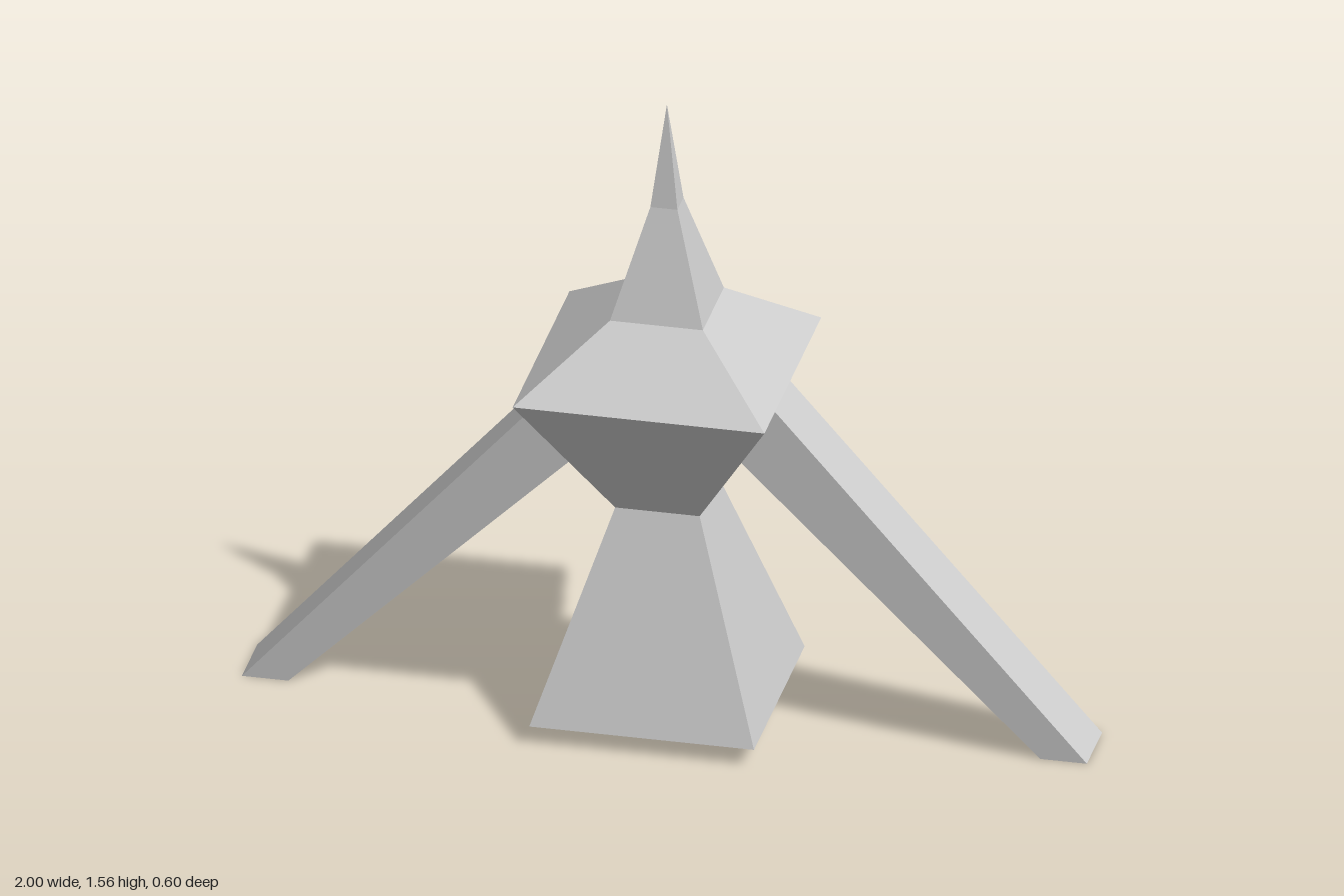
import * as THREE from 'three';

const material = new THREE.MeshStandardMaterial({ color: 0xcccccc, flatShading: true });

// Square-section solid from [half width, height] pairs, bottom to top
function squareTower(name, profile) {
  const points = profile.map(([half, y]) => new THREE.Vector2(half * Math.SQRT2, y));
  const geometry = new THREE.LatheGeometry(points, 4).rotateY(Math.PI / 4);
  const mesh = new THREE.Mesh(geometry, material);
  mesh.name = name;
  mesh.position.x = -0.012;
  return mesh;
}

// Slanted leg that widens towards the body; side is +1 (left) or -1 (right)
function leg(name, side) {
  const outline = [[0.89, 0], [1, 0], [0.245, 0.85], [0.16, 0.71]];
  const shape = new THREE.Shape(outline.map(([x, y]) => new THREE.Vector2(side * x, y)));
  const geometry = new THREE.ExtrudeGeometry(shape, { depth: 0.16, bevelEnabled: false });
  geometry.translate(0, 0, -0.08);
  const mesh = new THREE.Mesh(geometry, material);
  mesh.name = name;
  return mesh;
}

export function createModel() {
  const model = new THREE.Group();
  model.name = 'spiredTower';
  // Flared base, waist, wide middle and spire in one closed skin
  model.add(squareTower('body', [
    [0, 0.045], [0.266, 0.045], [0.1, 0.55], [0.298, 0.888],
    [0.11, 1.04], [0.032, 1.305], [0, 1.56],
  ]));
  model.add(leg('leftLeg', 1), leg('rightLeg', -1));
  return model;
}
